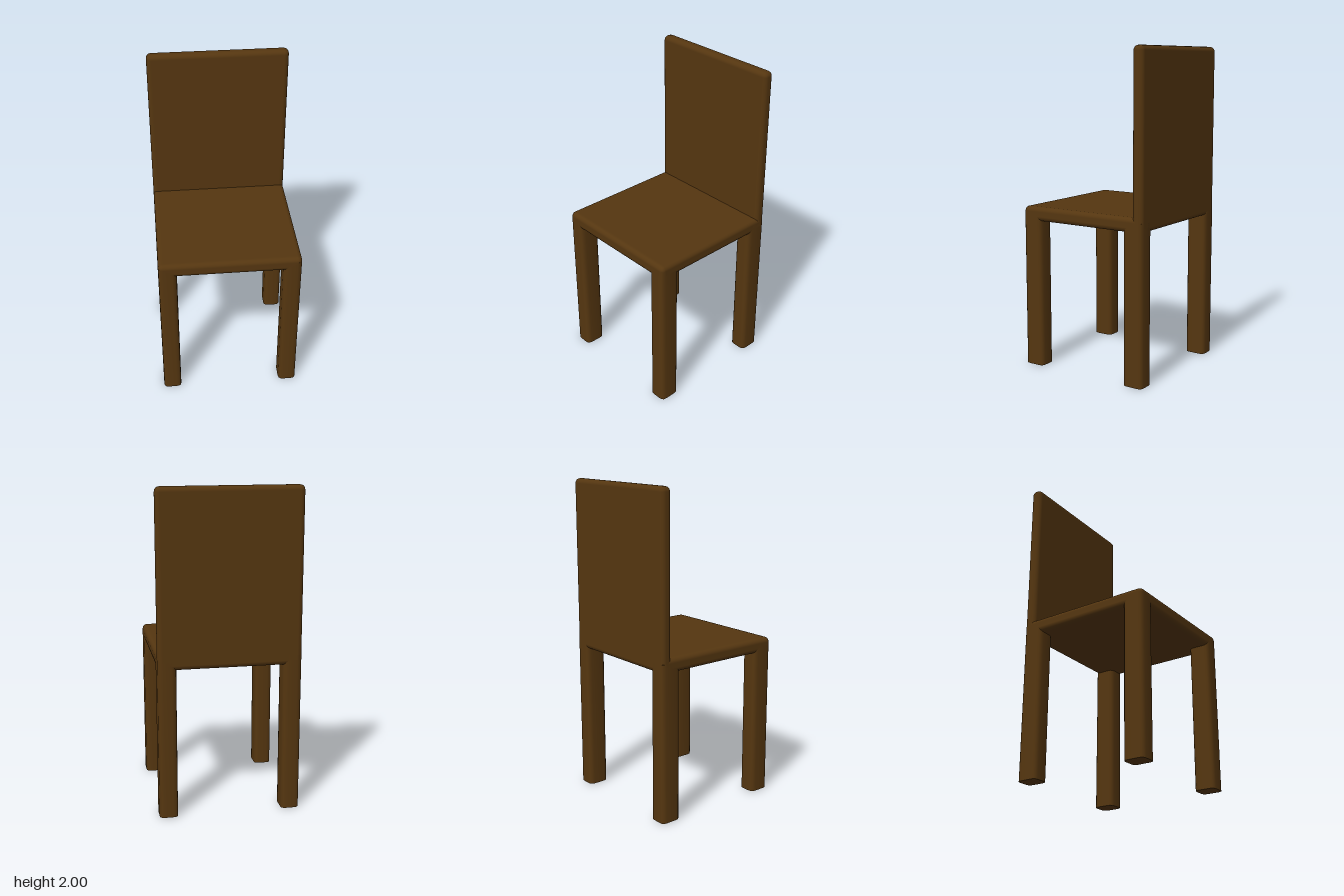
import * as THREE from 'three';
import { RoundedBoxGeometry } from 'three/addons/geometries/RoundedBoxGeometry.js';
import { toCreasedNormals } from 'three/addons/utils/BufferGeometryUtils.js';

const HALF = 0.437;        // half of the seat's width and depth
const BEVEL = 0.03;
const SEAT_BOTTOM = 0.93, SEAT_TOP = 1.02, TOP = 2;
const BACK_DEPTH = 0.072;
const LEG_W = 0.113, LEG_D = 0.133;

// Upright post with rounded corners and flat ends, standing on y = 0
function postGeometry(w, d, h, r) {
  const x = w / 2, y = d / 2;
  const s = new THREE.Shape();
  s.moveTo(-x + r, -y);
  s.lineTo(x - r, -y).quadraticCurveTo(x, -y, x, -y + r);
  s.lineTo(x, y - r).quadraticCurveTo(x, y, x - r, y);
  s.lineTo(-x + r, y).quadraticCurveTo(-x, y, -x, y - r);
  s.lineTo(-x, -y + r).quadraticCurveTo(-x, -y, -x + r, -y);
  const geometry = new THREE.ExtrudeGeometry(s, { depth: h, bevelEnabled: false, curveSegments: 3 });
  geometry.rotateX(-Math.PI / 2);
  return toCreasedNormals(geometry, 0.9);
}

export function createModel() {
  const group = new THREE.Group();
  group.name = 'chair';
  const wood = new THREE.MeshStandardMaterial({ color: 0x553610 });

  const add = (name, geometry, x, y, z) => {
    const mesh = new THREE.Mesh(geometry, wood);
    mesh.name = name;
    mesh.position.set(x, y, z);
    group.add(mesh);
  };

  // Seat slab
  add('seat', new RoundedBoxGeometry(2 * HALF, SEAT_TOP - SEAT_BOTTOM, 2 * HALF, 2, BEVEL),
    0, (SEAT_TOP + SEAT_BOTTOM) / 2, 0);

  // Backrest panel, running down through the seat
  add('backrest', new RoundedBoxGeometry(2 * HALF, TOP - SEAT_BOTTOM, BACK_DEPTH, 2, BEVEL),
    0, (TOP + SEAT_BOTTOM) / 2, -HALF + BACK_DEPTH / 2);

  // Four legs flush with the seat corners, ending below its rounded top edge
  const leg = postGeometry(LEG_W, LEG_D, SEAT_TOP - BEVEL, BEVEL);
  for (const [side, sx] of [['Left', 1], ['Right', -1]]) {
    for (const [end, sz] of [['front', 1], ['back', -1]]) {
      add(`${end}${side}Leg`, leg, sx * (HALF - LEG_W / 2), 0, sz * (HALF - LEG_D / 2));
    }
  }
  return group;
}
